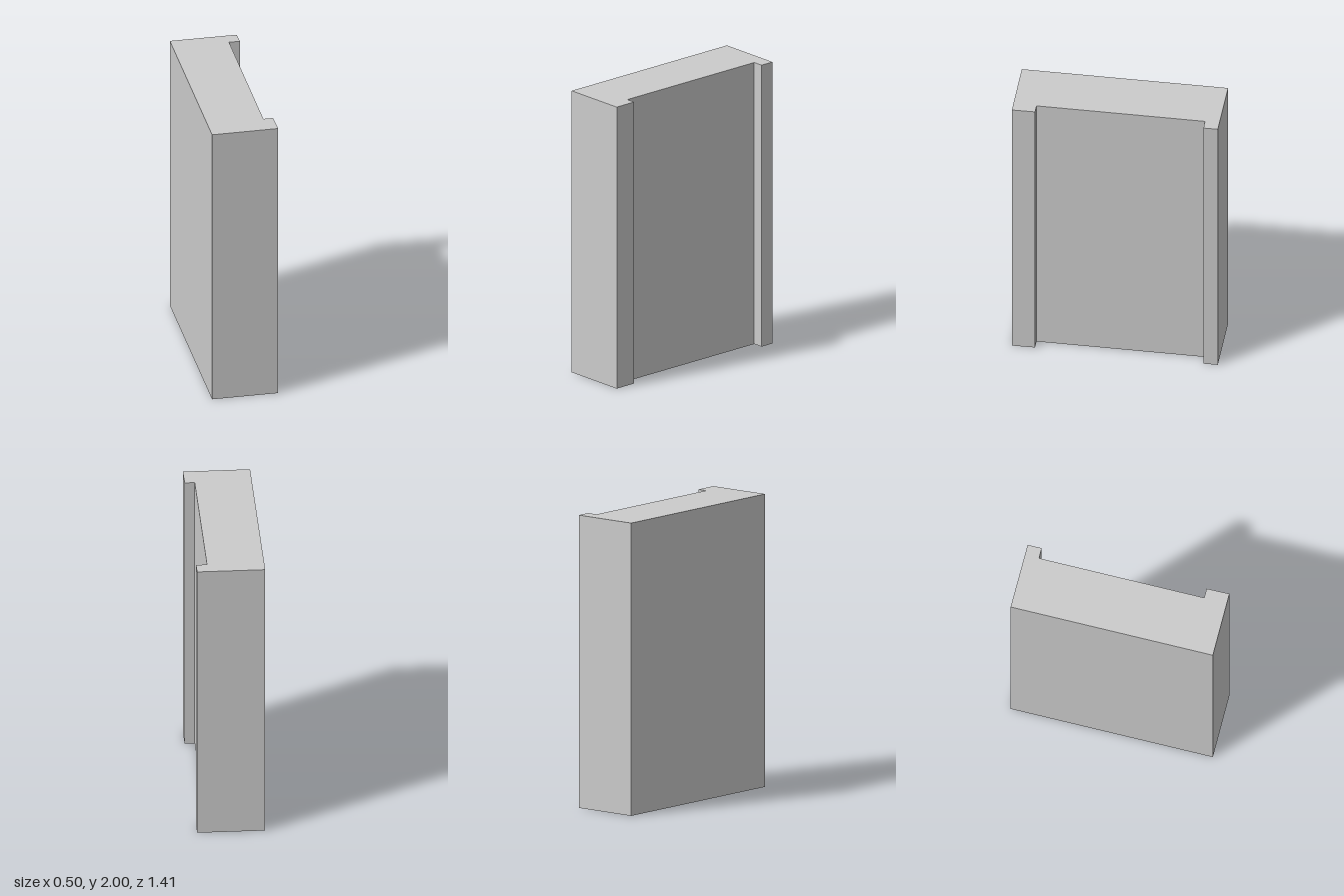
import * as THREE from 'three';

export function createModel() {
  const model = new THREE.Group();
  model.name = 'channelWall';

  // Floor plan as [x, z]: a slightly turned slab with a lip at each end of its +x face
  const plan = [
    [-0.25, -0.695], [0.208, -0.708], [0.212, -0.611], [0.138, -0.608],
    [0.174, 0.536], [0.241, 0.534], [0.248, 0.691], [-0.205, 0.706],
  ];
  const shape = new THREE.Shape(plan.map(([x, z]) => new THREE.Vector2(x, -z)));

  // Raise the plan to full height
  const geometry = new THREE.ExtrudeGeometry(shape, { depth: 2, bevelEnabled: false });
  geometry.rotateX(-Math.PI / 2);

  const wall = new THREE.Mesh(
    geometry,
    new THREE.MeshStandardMaterial({ color: 0xcccccc, flatShading: true })
  );
  wall.name = 'wallWithEndLips';
  model.add(wall);
  return model;
}
